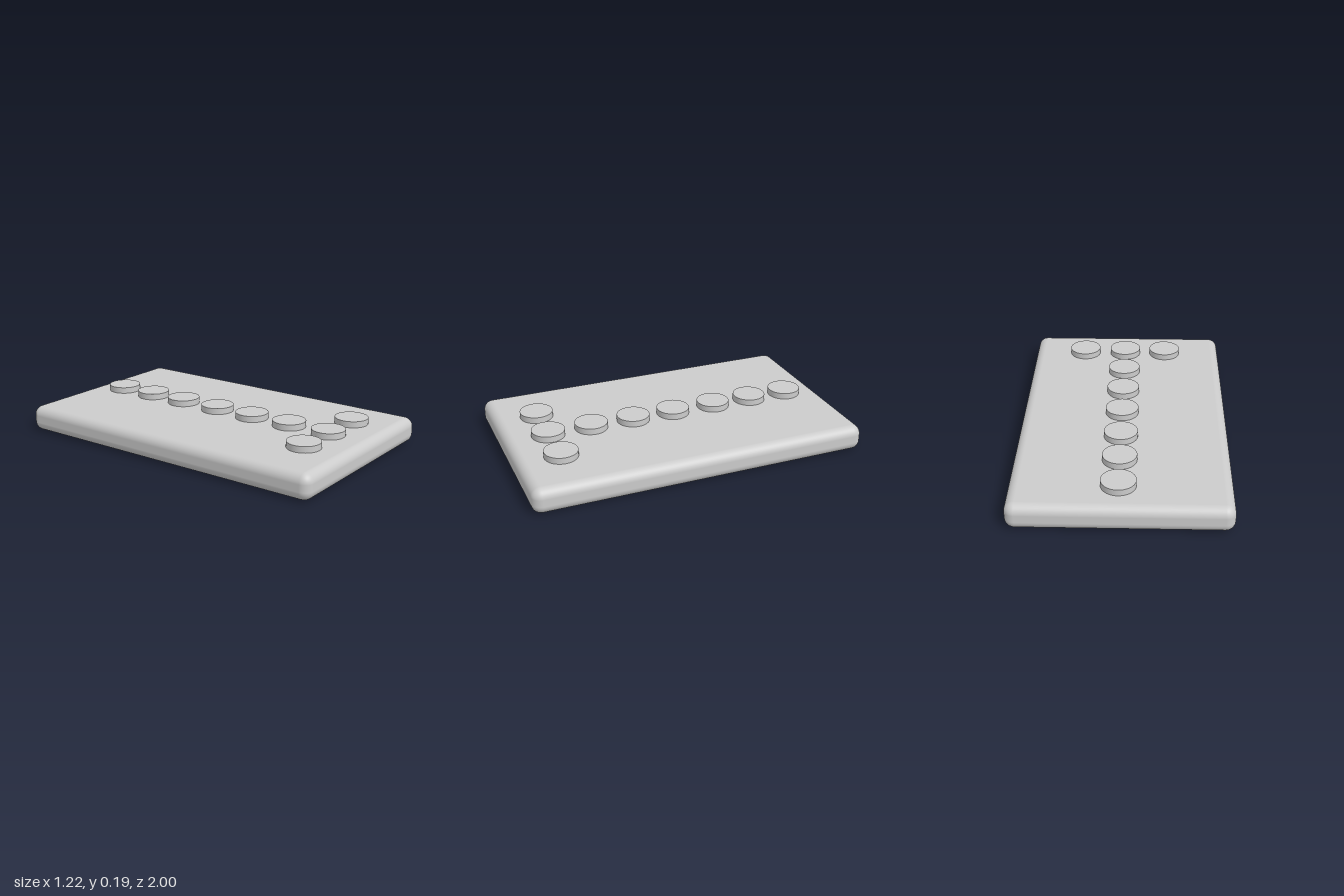
import * as THREE from 'three';
import { RoundedBoxGeometry } from 'three/addons/geometries/RoundedBoxGeometry.js';

const SLAB = { width: 1.22, height: 0.153, depth: 2, radius: 0.056 };
const BUTTON = { radius: 0.098, top: 0.19, sunk: 0.02 };

export function createModel() {
  const model = new THREE.Group();
  const material = new THREE.MeshStandardMaterial({ color: 0xcccccc });

  // Rounded slab body
  const body = new THREE.Mesh(
    new RoundedBoxGeometry(SLAB.width, SLAB.height, SLAB.depth, 5, SLAB.radius),
    material
  );
  body.name = 'body';
  body.position.y = SLAB.height / 2;
  model.add(body);

  // Round buttons: a column along the middle, and one each side of its front end
  const height = BUTTON.top - SLAB.height + BUTTON.sunk;
  const buttonGeometry = new THREE.CylinderGeometry(BUTTON.radius, BUTTON.radius, height, 48);
  const buttons = new THREE.Group();
  buttons.name = 'buttons';
  model.add(buttons);

  const addButton = (name, x, z) => {
    const button = new THREE.Mesh(buttonGeometry, material);
    button.name = name;
    button.position.set(x, BUTTON.top - height / 2, z);
    buttons.add(button);
  };

  [-0.784, -0.54, -0.294, -0.03, 0.225, 0.487, 0.748].forEach((z, i) =>
    addButton(`columnButton${i + 1}`, 0.012, z)
  );
  addButton('rightButton', -0.248, 0.748);
  addButton('leftButton', 0.277, 0.748);

  return model;
}
